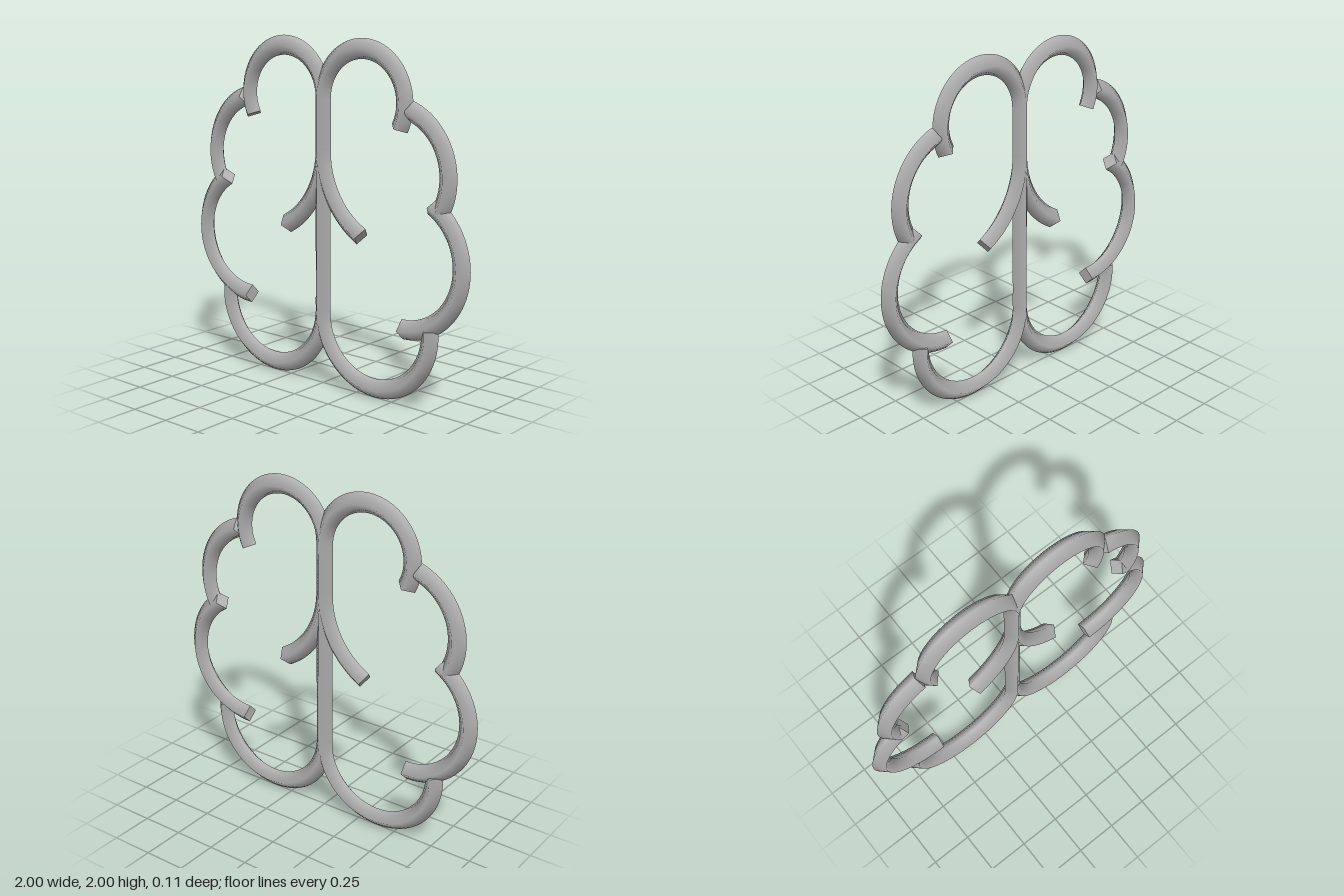
import * as THREE from 'three';

const R = 0.056; // tube radius; the section is a four-sided diamond

// Points along an arc in the xy plane, angles in degrees
function arc(cx, cy, r, from, to) {
  const n = Math.ceil(Math.abs(to - from) / 9);
  const pts = [];
  for (let i = 0; i <= n; i++) {
    const a = THREE.MathUtils.degToRad(from + ((to - from) * i) / n);
    pts.push([cx + r * Math.cos(a), cy + r * Math.sin(a)]);
  }
  return pts;
}

// Points strictly between two heights on the centre line
function stem(y0, y1) {
  return [1, 2, 3, 4, 5].map((i) => [0, y0 + ((y1 - y0) * i) / 6]);
}

// Capped tube through the points, mirrored by side
function rod(name, pts, side, material) {
  const group = new THREE.Group();
  group.name = name;
  const curve = new THREE.CatmullRomCurve3(
    pts.map(([x, y]) => new THREE.Vector3(side * x, y, 0)), false, 'centripetal');
  const tube = new THREE.Mesh(new THREE.TubeGeometry(curve, pts.length * 3, R, 4), material);
  tube.name = name + 'Tube';
  group.add(tube);
  for (const t of [0, 1]) {
    const cap = new THREE.Mesh(new THREE.CircleGeometry(R, 4), material);
    cap.name = name + 'Cap';
    const dir = curve.getTangent(t).multiplyScalar(t ? 1 : -1);
    cap.up.set(0, 0, 1);
    cap.position.copy(curve.getPoint(t));
    cap.lookAt(cap.position.clone().add(dir));
    group.add(cap);
  }
  return group;
}

export function createModel() {
  const model = new THREE.Group();
  model.name = 'brainOutline';
  const grey = new THREE.MeshStandardMaterial({ color: 0xb8b8b8 });
  grey.name = 'grey';

  // Half outline: each rod is a chain of arcs and straight stems
  const rods = {
    // top lobe, upper stem and the branch curling outwards
    topLobe: [
      ...arc(0.282, 1.662, 0.282, -27, 180),
      ...stem(1.662, 1.37),
      ...arc(0.52, 1.37, 0.52, 180, 242),
    ],
    upperSideLobe: arc(0.489, 1.29, 0.361, 72, -30),
    lowerSideLobe: arc(0.567, 0.815, 0.378, 60, -90),
    // lower stem and bottom lobe
    bottomLobe: [
      [0, 1.28],
      ...stem(1.28, 0.432),
      ...arc(0.376, 0.432, 0.376, 180, 365),
    ],
  };

  for (const [label, side] of [['left', 1], ['right', -1]]) {
    const half = new THREE.Group();
    half.name = label + 'Half';
    for (const [name, pts] of Object.entries(rods)) half.add(rod(name, pts, side, grey));
    model.add(half);
  }
  return model;
}
